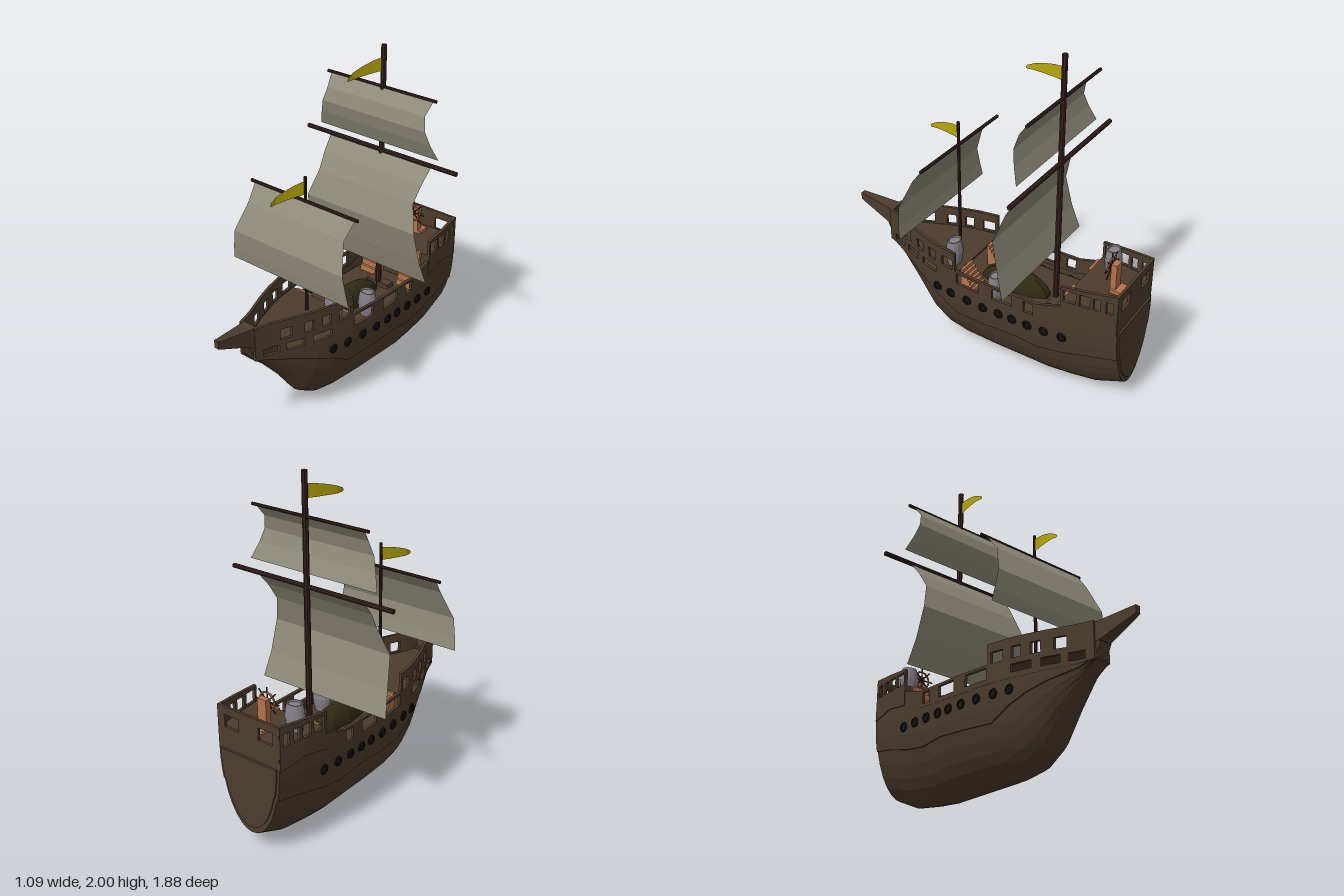
import * as THREE from 'three';

const mat = (color, side = THREE.FrontSide) => new THREE.MeshStandardMaterial({ color, side, flatShading: true });

// Hull stations: z, keel height, sheer height, half width, wale height
const HULL = [
  [-0.93, 0.10, 0.56, 0.205, 0.37], [-0.76, 0.03, 0.59, 0.23, 0.34], [-0.60, 0.01, 0.565, 0.245, 0.30],
  [-0.45, 0, 0.51, 0.25, 0.28], [-0.30, 0.005, 0.505, 0.25, 0.30], [-0.10, 0.01, 0.50, 0.25, 0.29],
  [0.10, 0.015, 0.50, 0.235, 0.28], [0.23, 0.035, 0.50, 0.215, 0.35], [0.34, 0.10, 0.50, 0.185, 0.40],
  [0.45, 0.25, 0.505, 0.145, 0.44], [0.60, 0.42, 0.51, 0.08, 0.48], [0.70, 0.51, 0.52, 0.05, 0.518],
];

// Interpolated station value at z
function at(z, col) {
  let i = 0;
  while (i < HULL.length - 2 && z > HULL[i + 1][0]) i++;
  const a = HULL[i], b = HULL[i + 1];
  return THREE.MathUtils.lerp(a[col], b[col], THREE.MathUtils.clamp((z - a[0]) / (b[0] - a[0]), 0, 1));
}
const stations = (z0, z1) => [z0, ...HULL.map(s => s[0]).filter(z => z > z0 + 0.001 && z < z1 - 0.001), z1];

// Skin rings (counter-clockwise seen from +z, ordered towards +z)
function loft(rings, closed = true, caps = true) {
  const n = rings[0].length, idx = [];
  for (let i = 0; i < rings.length - 1; i++) {
    for (let j = 0; j < (closed ? n : n - 1); j++) {
      const k = (j + 1) % n, a = i * n + j, b = i * n + k;
      idx.push(a, b, b + n, a, b + n, a + n);
    }
  }
  const last = (rings.length - 1) * n;
  if (caps) for (let j = 1; j < n - 1; j++) idx.push(last, last + j, last + j + 1, 0, j + 1, j);
  let g = new THREE.BufferGeometry();
  g.setAttribute('position', new THREE.Float32BufferAttribute(rings.flat(2), 3));
  g.setIndex(idx);
  g = g.toNonIndexed();
  g.computeVertexNormals();
  return g;
}

// One hull section from rail to rail, stepped outward above the wale
function section([z, keel, sheer, w, wale], scale = 1) {
  const aw = Math.acos(1 - (wale - keel) / (sheer - keel)), half = [];
  const put = (a, out) => half.push([(w * Math.sin(a) + out) * scale, sheer - (sheer - keel) * Math.cos(a) * scale, z]);
  for (let i = 0; i <= 6; i++) put(aw * i / 6, 0);
  for (let i = 0; i <= 3; i++) put(aw + (Math.PI / 2 - aw) * i / 3, 0.007);
  return [...half.slice(1).reverse().map(([x, y, q]) => [-x, y, q]), ...half];
}

export function createModel() {
  const root = new THREE.Group(), ship = new THREE.Group();
  ship.name = 'ship';
  ship.position.x = 0.02;
  root.add(ship);
  const wood = mat(0x4c3c2d), woodOpen = mat(0x4c3c2d, THREE.DoubleSide), spar = mat(0x35211d);
  const cloth = mat(0x8f8b79, THREE.DoubleSide), yellow = mat(0xb8a70c, THREE.DoubleSide);
  const tan = mat(0xb5734a), black = mat(0x121212), grey = mat(0x857f88), olive = mat(0x2e2a12);

  const add = (name, geo, m, x = 0, y = 0, z = 0, parent = ship) => {
    const mesh = new THREE.Mesh(geo, m);
    mesh.name = name;
    mesh.position.set(x, y, z);
    parent.add(mesh);
    return mesh;
  };
  const box = (name, m, w, h, d, x, y, z) => add(name, new THREE.BoxGeometry(w, h, d), m, x, y, z);

  // Hull and raised transom panel
  add('hull', loft(HULL.map(s => section(s)), false), woodOpen);
  const back = section(HULL[0], 0.92);
  add('transomPanel', loft([-0.938, -0.925].map(z => back.map(([x, y]) => [x, y, z]))), wood);

  // Decks follow the hull plan
  const deck = (name, z0, z1, y) => add(name, loft(stations(z0, z1).map(z => {
    const w = at(z, 3) - 0.006;
    return [[-w, y - 0.012, z], [w, y - 0.012, z], [w, y, z], [-w, y, z]];
  })), wood);
  deck('mainDeck', -0.62, 0.45, 0.46);
  deck('foreDeck', 0.09, 0.7, 0.592);
  deck('quarterDeck', -0.92, -0.6, 0.685);
  box('quarterBulkhead', wood, 0.48, 0.225, 0.012, 0, 0.5725, -0.606);

  // Bulwark strips on both sides; heights are functions of z
  const fn = v => (typeof v === 'function' ? v : () => v);
  function strip(name, z0, z1, lo, hi, out = 0.008) {
    for (const s of [1, -1]) {
      const rings = stations(z0, z1).map(z => {
        const b = at(z, 3) + out, a = b - 0.018, l = fn(lo)(z), h = fn(hi)(z);
        const r = [[a * s, l, z], [b * s, l, z], [b * s, h, z], [a * s, h, z]];
        return s > 0 ? r : r.reverse();
      });
      add(name, loft(rings), wood);
    }
  }
  // Wall with a row of openings [z0, z1] in ascending order
  function wall(name, z0, z1, lo, winLo, winHi, hi, openings, out) {
    strip(name + 'Sill', z0, z1, lo, winLo, out);
    strip(name + 'Rail', z0, z1, winHi, hi, out);
    let z = z0;
    for (const [a, b] of [...openings, [z1, z1]]) {
      if (a - z > 0.002) strip(name + 'Post', z, a, winLo, winHi, out);
      z = b;
    }
  }
  const sheer = z => at(z, 2) - 0.01;
  wall('forecastleLower', 0.1, 0.7, sheer, 0.522, 0.568, 0.59, [[0.25, 0.37], [0.42, 0.52], [0.56, 0.65]]);
  wall('forecastleUpper', 0.1, 0.7, 0.59, 0.602, 0.668, 0.72, [[0.12, 0.2], [0.255, 0.31], [0.365, 0.42], [0.49, 0.555]]);
  wall('waist', -0.45, 0.1, sheer, 0.52, 0.588, 0.603, [[-0.43, -0.37], [-0.29, -0.16], [-0.07, 0.09]]);
  strip('waistRise', -0.6, -0.45, sheer, z => 0.603 - (z + 0.45) * 0.29);
  wall('sterncastle', -0.925, -0.6, sheer, 0.69, 0.765, z => 0.783 - (z + 0.6) * 0.085,
    [[-0.9, -0.86], [-0.83, -0.79], [-0.77, -0.71], [-0.69, -0.615]], 0.012);

  // Stern wall with two openings
  box('sternWall', wood, 0.42, 0.15, 0.016, 0, 0.615, -0.918);
  box('sternRail', wood, 0.43, 0.045, 0.016, 0, 0.787, -0.918);
  box('sternCentrePost', wood, 0.14, 0.08, 0.016, 0, 0.727, -0.918);
  for (const s of [1, -1]) box('sternCornerPost', wood, 0.045, 0.08, 0.016, 0.19 * s, 0.727, -0.918);

  // Beak and stem at the bow
  const rect = (z, x, w, lo, hi) => [[x - w, lo, z], [x + w, lo, z], [x + w, hi, z], [x - w, hi, z]];
  add('beak', loft([rect(0.68, 0, 0.055, 0.6, 0.72), rect(0.71, 0, 0.045, 0.605, 0.715), rect(0.938, 0.014, 0.016, 0.7, 0.745)]), wood);
  add('stem', loft([rect(0.66, 0, 0.055, 0.5, 0.605), [[-0.04, 0.515, 0.69], [0.04, 0.515, 0.69], [0.04, 0.605, 0.73], [-0.04, 0.605, 0.73]]]), wood);

  // Gun ports along both sides
  const ring = new THREE.TorusGeometry(0.022, 0.008, 6, 14).rotateY(Math.PI / 2);
  const gun = new THREE.CylinderGeometry(0.018, 0.018, 0.05, 12).rotateZ(Math.PI / 2);
  for (const z of [0.24, 0.135, 0.015, -0.1, -0.205, -0.295, -0.395, -0.5, -0.61]) {
    const k = at(z, 1), c = (at(z, 2) - 0.43) / (at(z, 2) - k);
    const x = at(z, 3) * Math.sqrt(1 - c * c) + 0.009;
    for (const s of [1, -1]) {
      add('gunPortRing', ring, black, s * x, 0.43, z);
      add('gunPort', gun, black, s * (x - 0.022), 0.43, z);
    }
  }

  // Stairs: rise from the main deck in direction dir along z
  function stairs(x, z0, z1, top) {
    const n = 6, step = (z1 - z0) / n;
    for (let i = 0; i < n; i++) {
      const h = (top - 0.46) * (i + 1) / n;
      box('stair', tan, 0.114, h, Math.abs(step), x, 0.46 + h / 2, z0 + step * (i + 0.5));
    }
  }
  for (const x of [-0.145, 0.138]) {
    stairs(x, 0, 0.09, 0.59);
    stairs(x, -0.51, -0.602, 0.685);
  }

  // Overturned boat on the main deck
  const boat = new THREE.SphereGeometry(1, 10, 10, 0, Math.PI * 2, 0, Math.PI / 2).scale(0.078, 0.12, 0.23);
  add('upturnedBoat', boat, olive, 0, 0.462, -0.17);

  // Barrels
  const profile = [[0, 0], [0.045, 0], [0.055, 0.04], [0.06, 0.08], [0.055, 0.12], [0.047, 0.158], [0.04, 0.158], [0.038, 0.148], [0, 0.148]];
  const barrel = new THREE.LatheGeometry(profile.map(p => new THREE.Vector2(...p)), 14).scale(1, 1, 0.8);
  for (const [x, y, z] of [[0.15, 0.592, 0.16], [0.16, 0.46, -0.13], [-0.14, 0.685, -0.715]]) add('barrel', barrel, grey, x, y, z);

  // Helm: stand and spoked wheel
  box('helmBase', tan, 0.09, 0.02, 0.08, 0, 0.695, -0.825);
  box('helmStand', tan, 0.06, 0.17, 0.035, 0, 0.775, -0.8);
  add('wheelRim', new THREE.TorusGeometry(0.052, 0.006, 6, 16), tan, 0, 0.83, -0.772);
  for (let i = 0; i < 4; i++) {
    add('wheelSpoke', new THREE.CylinderGeometry(0.004, 0.004, 0.165, 6), spar, 0, 0.83, -0.772).rotation.z = i * Math.PI / 4;
  }
  add('wheelHub', new THREE.CylinderGeometry(0.012, 0.012, 0.03, 8).rotateX(Math.PI / 2), spar, 0, 0.83, -0.775);

  // Masts and yards
  const mast = (name, r, y0, y1, z) => add(name, new THREE.CylinderGeometry(r * 0.9, r, y1 - y0, 8), spar, 0, (y0 + y1) / 2, z);
  const yard = (name, r, len, y, z) => add(name, new THREE.CylinderGeometry(r, r, len, 8).rotateZ(Math.PI / 2), spar, -0.02, y, z);
  mast('mainMast', 0.018, 0.46, 2, -0.435);
  mast('foreMast', 0.01, 0.59, 1.43, 0.222);
  box('mastStep', wood, 0.16, 0.03, 0.06, 0, 0.475, -0.45);
  yard('mainYard', 0.014, 1.09, 1.37, -0.435);
  yard('topYard', 0.01, 0.775, 1.755, -0.435);
  yard('foreYard', 0.01, 0.775, 1.285, 0.222);

  // Sails: rows of height, z, half width
  const sail = (name, rows) => add(name, loft(rows.map(([y, z, w]) => [[-w, y, z], [w, y, z]]), false, false), cloth, -0.012);
  sail('mainSail', [[1.37, -0.435, 0.37], [1.28, -0.36, 0.36], [1.18, -0.3, 0.35], [1.02, -0.25, 0.4], [0.83, -0.29, 0.415], [0.68, -0.335, 0.437]]);
  sail('topSail', [[1.755, -0.43, 0.365], [1.68, -0.375, 0.35], [1.6, -0.355, 0.37], [1.52, -0.375, 0.395], [1.43, -0.41, 0.43]]);
  sail('foreSail', [[1.285, 0.225, 0.365], [1.19, 0.3, 0.35], [1.02, 0.37, 0.4], [0.9, 0.36, 0.42], [0.83, 0.35, 0.43]]);

  // Curved pennants: rows of distance, top, bottom, sideways drift
  const flag = [[0, 0.09, 0.01, 0], [0.07, 0.078, 0.006, -0.022], [0.14, 0.06, 0.002, -0.04], [0.2, 0.04, -0.002, -0.052], [0.245, 0.02, -0.002, -0.05], [0.255, 0.01, 0, -0.048]];
  const pennant = (name, y, z, s) => add(name, loft(flag.map(([d, t, b, x]) => [[x, b, d * s], [x, t, d * s]]), false, false), yellow, 0, y, z);
  pennant('mainPennant', 1.84, -0.435, 1);
  pennant('forePennant', 1.315, 0.222, 0.88);

  return root;
}
